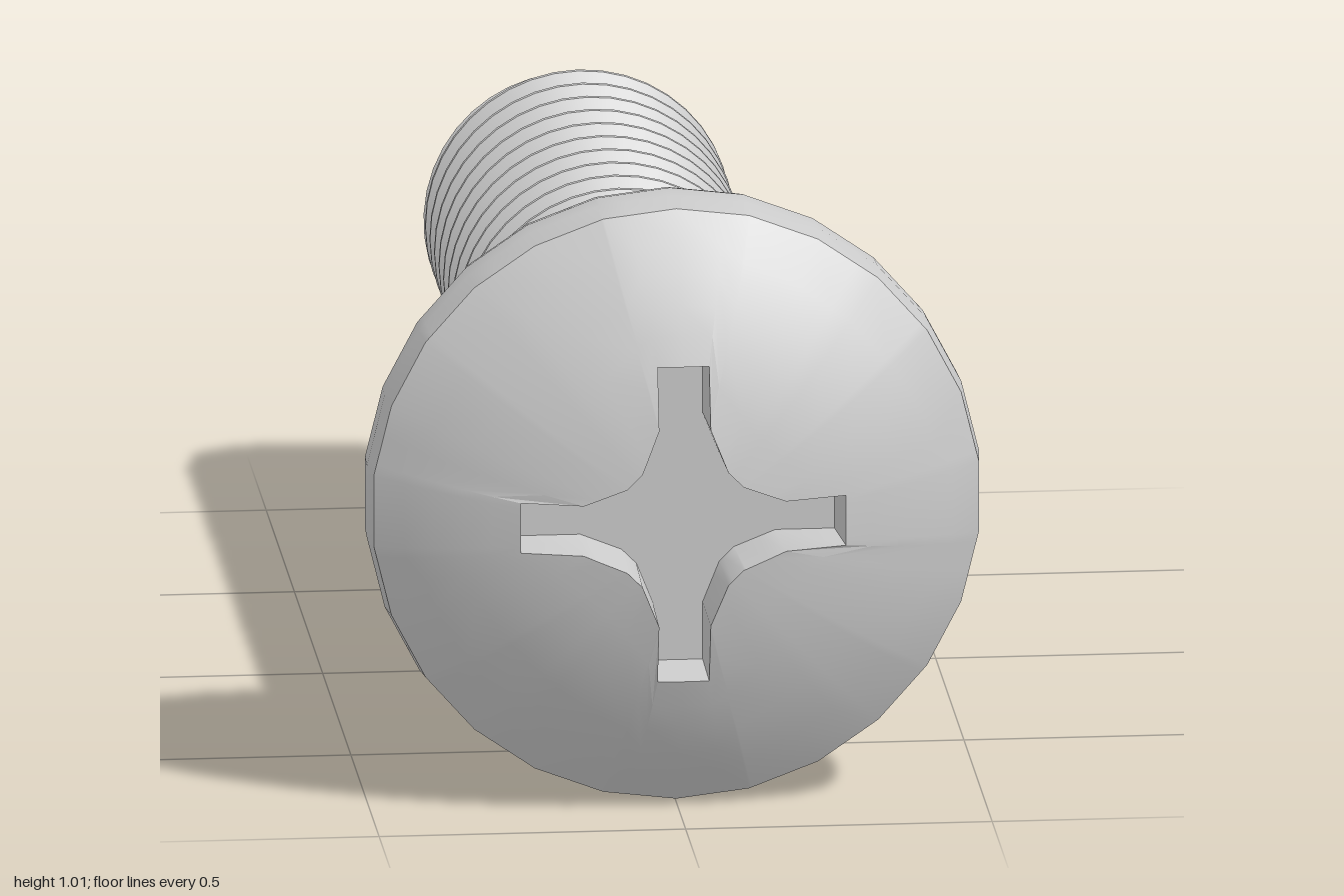
import * as THREE from 'three';
import { toCreasedNormals } from 'three/addons/utils/BufferGeometryUtils.js';

const TAU = Math.PI * 2;
const SIDES = 26;

// Skin rows of points (each row runs counter-clockwise about z), dropping empty triangles
function skin(rows) {
  const out = [];
  const tri = (a, b, c) => {
    const area = b.clone().sub(a).cross(c.clone().sub(a)).length();
    if (area > 1e-8) for (const p of [a, b, c]) out.push(p.x, p.y, p.z);
  };
  for (let k = 0; k < rows.length - 1; k++) {
    for (let j = 0; j < rows[k].length - 1; j++) {
      const a = rows[k][j], b = rows[k + 1][j], c = rows[k + 1][j + 1], d = rows[k][j + 1];
      tri(a, b, c);
      tri(a, c, d);
    }
  }
  const geometry = new THREE.BufferGeometry();
  geometry.setAttribute('position', new THREE.Float32BufferAttribute(out, 3));
  return toCreasedNormals(geometry, 0.55);
}

const polar = (r, angle, z) => new THREE.Vector3(r * Math.cos(angle), r * Math.sin(angle), z);

// Cross-shaped recess outline: one arm corner set repeated four times
function recessOutline() {
  const corner = [[0.265, 0.042], [0.165, 0.042], [0.095, 0.07], [0.07, 0.095], [0.042, 0.165], [0.042, 0.265]];
  const points = [];
  for (let q = 0; q < 4; q++) {
    for (const [x, y] of corner) {
      points.push(new THREE.Vector2(x, y).rotateAround(new THREE.Vector2(), q * Math.PI / 2));
    }
  }
  return points;
}

// Distance from the centre to the outline along an angle
function outlineRadius(points, angle) {
  const dx = Math.cos(angle), dy = Math.sin(angle);
  for (let i = 0; i < points.length; i++) {
    const a = points[i], b = points[(i + 1) % points.length];
    const sa = dx * a.y - dy * a.x, sb = dx * b.y - dy * b.x;
    if (sa <= 1e-7 && sb >= -1e-7 && a.x * dx + a.y * dy > 0 && sb - sa > 1e-6) {
      const t = -sa / (sb - sa);
      return (a.x + (b.x - a.x) * t) * dx + (a.y + (b.y - a.y) * t) * dy;
    }
  }
  return 0.1;
}

function headGeometry() {
  const outline = recessOutline();
  const step = TAU / SIDES, start = Math.PI / 2;

  // Columns pass through every corner of the recess and of the polygonal rim
  const all = outline.map((p) => (Math.atan2(p.y, p.x) + TAU) % TAU);
  for (let i = 0; i < SIDES; i++) all.push((start + i * step) % TAU);
  all.sort((a, b) => a - b);
  const angles = all.filter((a, i) => i === 0 || a - all[i - 1] > 1e-4);
  angles.push(angles[0] + TAU);

  // Scale that turns a circle into the rim polygon
  const polygon = (a) => {
    const f = ((a - start) % step + step) % step;
    return Math.cos(step / 2) / Math.cos(f - step / 2);
  };
  const domeZ = (r) => 1.008 - (0.8 - Math.sqrt(0.64 - r * r));
  const ring = (fn) => angles.map((a) => fn(a, polygon(a), outlineRadius(outline, a)));

  // Recess floor and slightly drafted walls
  const floorZ = 0.86;
  const rows = [
    ring((a) => polar(0, a, floorZ)),
    ring((a, p, r) => polar(r * 0.965, a, floorZ)),
  ];
  // Domed face, from the recess edge to the rim
  for (const t of [0, 0.2, 0.4, 0.6, 0.8, 1]) {
    rows.push(ring((a, p, r) => {
      const radius = THREE.MathUtils.lerp(r, 0.497 * p, t);
      const round = radius / THREE.MathUtils.lerp(1, p, t);
      return polar(radius, a, domeZ(round));
    }));
  }
  // Side wall, rounded back edge and flat underside
  const profile = [[0.503, 0.775], [0.501, 0.72], [0.487, 0.665], [0.455, 0.63], [0.415, 0.615], [0.18, 0.615]];
  for (const [r, z] of profile) rows.push(ring((a, p) => polar(r * p, a, z)));
  return skin(rows);
}

function shaftGeometry() {
  const pitch = 0.0805, root = 0.202, crest = 0.251, top = 0.62, tip = -1, columns = 40;

  // Thread height, with a collar below the head and a chamfered tip
  const radius = (z, a) => {
    const u = (z - 0.36) / pitch - a / TAU;
    const d = Math.abs(u - Math.round(u));
    const t = THREE.MathUtils.clamp((0.45 - d) / 0.39, 0, 1);
    const thread = root + (crest - root) * t;
    const collar = THREE.MathUtils.clamp(0.25 - (0.59 - z) * 1.2, root, 0.25);
    return Math.min(Math.max(thread, collar), 0.21 + (z - tip));
  };

  const rows = [];
  const row = (fn) => rows.push(Array.from({ length: columns + 1 }, (_, j) => fn(j / columns * TAU)));

  // Rows follow the helix downwards and are trimmed flat at both ends
  for (let turn = 4; turn >= -19; turn--) {
    for (const offset of [0.45, 0.25, 0.06, -0.06, -0.25, -0.45]) {
      row((a) => {
        const z = THREE.MathUtils.clamp(0.36 + pitch * (turn + offset + a / TAU), tip, top);
        return polar(radius(z, a), a, z);
      });
    }
  }
  // Flat end
  row((a) => polar(0, a, tip));
  return skin(rows);
}

export function createModel() {
  const model = new THREE.Group();
  model.name = 'screw';
  const material = new THREE.MeshStandardMaterial({ color: 0xcccccc });
  const parts = { panHead: headGeometry(), threadedShaft: shaftGeometry() };
  for (const [name, geometry] of Object.entries(parts)) {
    const mesh = new THREE.Mesh(geometry, material);
    mesh.name = name;
    mesh.position.y = 0.503;
    model.add(mesh);
  }
  return model;
}
